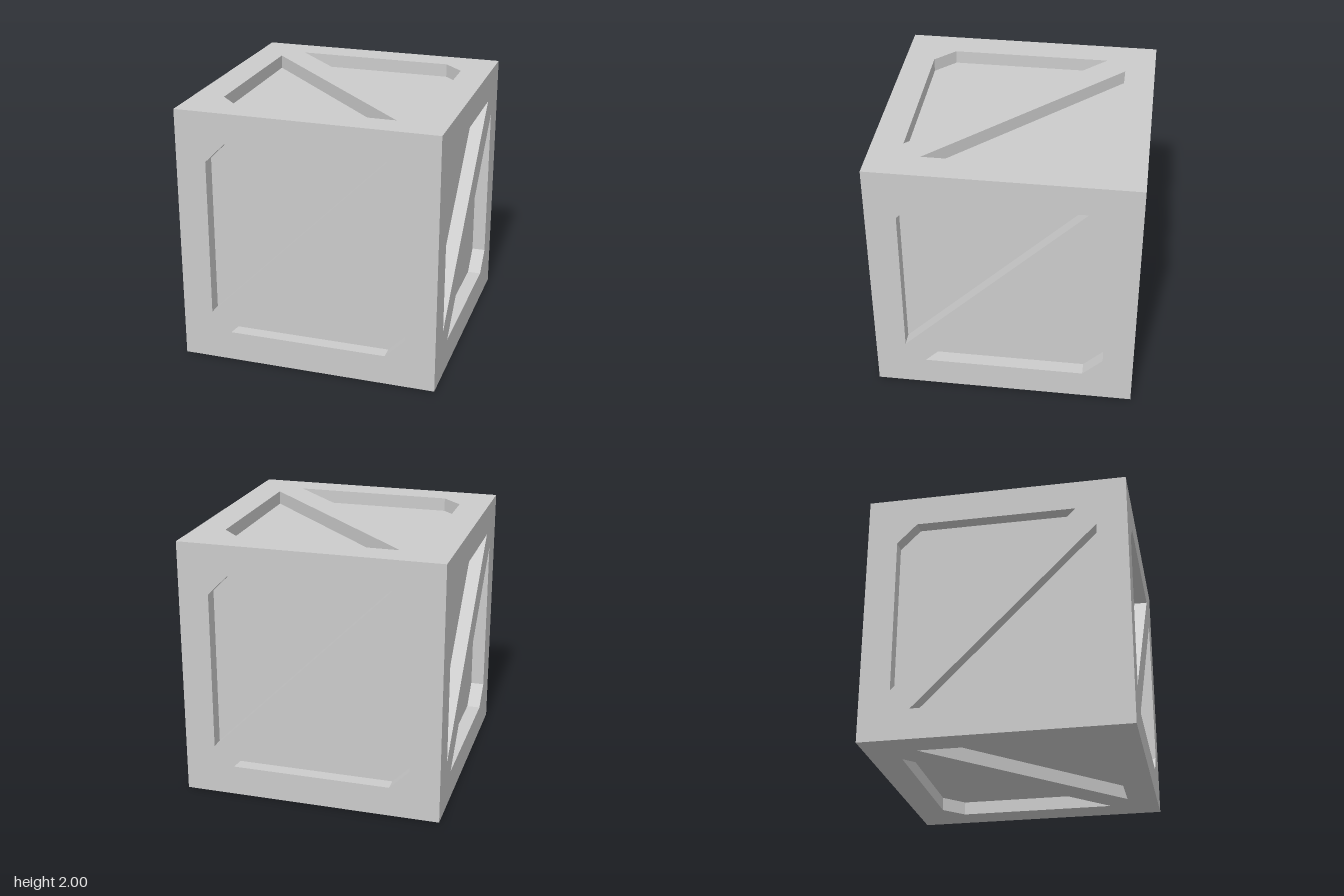
import * as THREE from 'three';
import { mergeGeometries } from 'three/addons/utils/BufferGeometryUtils.js';

const HALF = 1;        // half the cube's side
const DEPTH = 0.105;   // depth of the recesses
const A = 0.767;       // outer edge of a recess
const B = 0.614;       // where the corner cut and the brace begin

// One recess, counter-clockwise: a triangle with its right-angled corner cut off
const upper = [[B, A], [-B, A], [-A, B], [-A, -B]].map(([x, y]) => new THREE.Vector2(x, y));
const lower = upper.map((p) => p.clone().negate());

function flat(shape, z) {
  const g = new THREE.ShapeGeometry(shape).toNonIndexed();
  g.deleteAttribute('uv');
  return g.translate(0, 0, z);
}

// Inward-facing walls around a recess
function walls(points) {
  const top = HALF, bottom = HALF - DEPTH, pos = [];
  points.forEach((p, i) => {
    const q = points[(i + 1) % points.length];
    pos.push(p.x, p.y, top, q.x, q.y, top, q.x, q.y, bottom);
    pos.push(p.x, p.y, top, q.x, q.y, bottom, p.x, p.y, bottom);
  });
  const g = new THREE.BufferGeometry();
  g.setAttribute('position', new THREE.Float32BufferAttribute(pos, 3));
  g.computeVertexNormals();
  return g;
}

// Square frame with a diagonal brace between two openings
function frameGeometry() {
  const s = HALF;
  const frame = new THREE.Shape([[-s, -s], [s, -s], [s, s], [-s, s]].map(([x, y]) => new THREE.Vector2(x, y)));
  frame.holes.push(new THREE.Path(upper), new THREE.Path(lower));
  return mergeGeometries([flat(frame, HALF), walls(upper), walls(lower)]);
}

// Sunken boards behind the two openings
function boardGeometry() {
  return mergeGeometries([upper, lower].map((p) => flat(new THREE.Shape(p), HALF - DEPTH)));
}

export function createModel() {
  const model = new THREE.Group();
  model.name = 'crate';
  const material = new THREE.MeshStandardMaterial({ color: 0xcccccc, flatShading: true });
  const frame = frameGeometry();
  const boards = boardGeometry();

  // Six sides: name, rotation about x, y and z
  const q = Math.PI / 2;
  const sides = [
    ['front', 0, 0, 0],
    ['left', 0, q, 0],
    ['back', 0, 2 * q, 0],
    ['right', 0, -q, 0],
    ['top', -q, 0, q],
    ['bottom', q, 0, 0],
  ];
  for (const [name, rx, ry, rz] of sides) {
    const side = new THREE.Group();
    side.name = name + 'Side';
    const frameMesh = new THREE.Mesh(frame, material);
    frameMesh.name = name + 'BracedFrame';
    const boardMesh = new THREE.Mesh(boards, material);
    boardMesh.name = name + 'Boards';
    side.add(frameMesh, boardMesh);
    side.rotation.set(rx, ry, rz);
    side.position.y = HALF;
    model.add(side);
  }
  return model;
}
